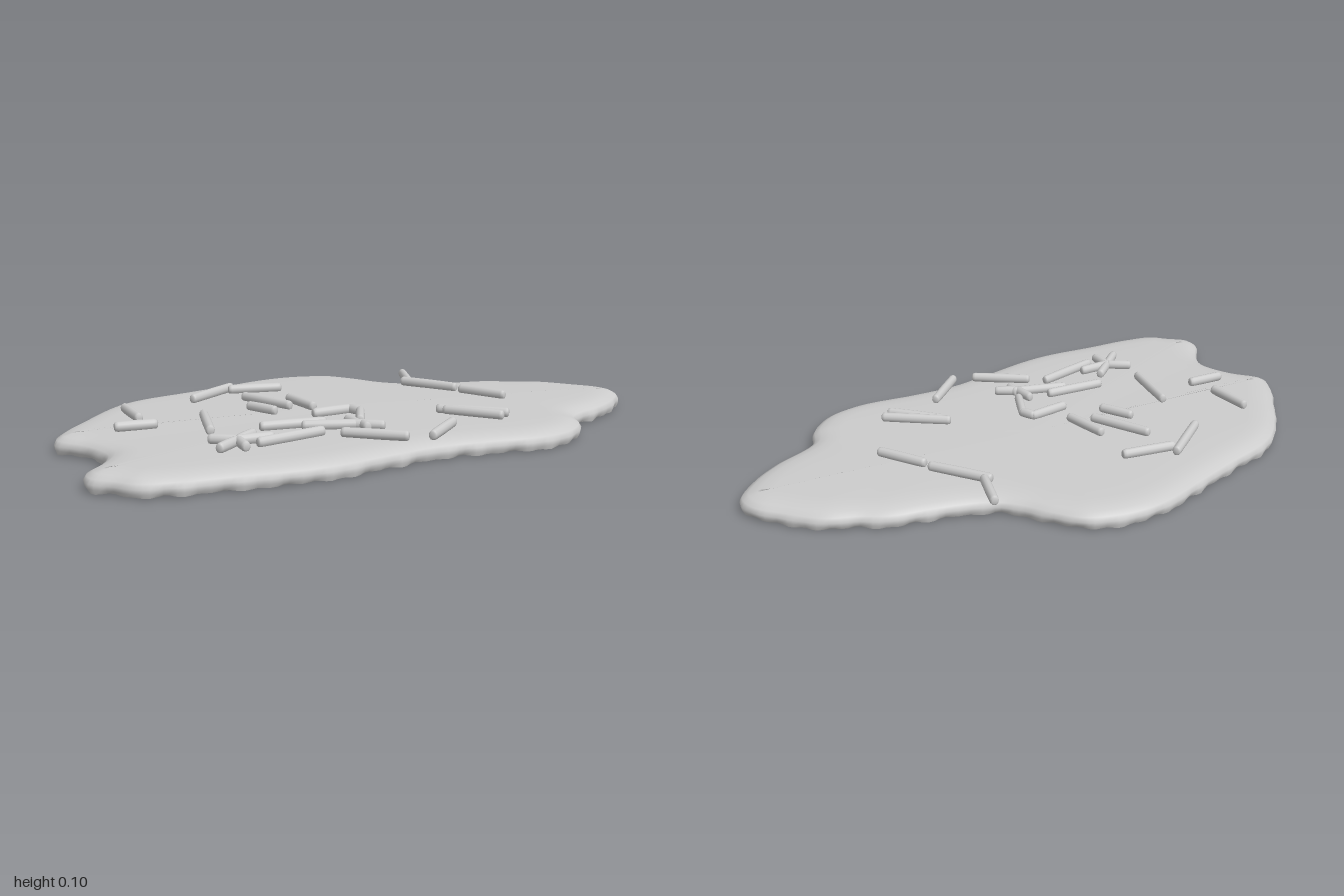
import * as THREE from 'three';

const stone = new THREE.MeshStandardMaterial({ color: 0xcccccc });
stone.name = 'pale grey';

// Outline of the slab as x, z pairs, clockwise seen from above
const OUTLINE = [
  [-1, -0.03], [-0.95, -0.13], [-0.88, -0.22], [-0.81, -0.31], [-0.72, -0.4], [-0.63, -0.45],
  [-0.45, -0.5], [-0.3, -0.545], [-0.15, -0.59], [-0.05, -0.603], [0.05, -0.59], [0.15, -0.55],
  [0.22, -0.47], [0.28, -0.38], [0.35, -0.32], [0.5, -0.27], [0.64, -0.24], [0.73, -0.19],
  [0.82, -0.15], [0.92, -0.05], [0.985, 0.03], [0.995, 0.11], [0.92, 0.2], [0.82, 0.27],
  [0.66, 0.35], [0.62, 0.44], [0.53, 0.52], [0.4, 0.55], [0.2, 0.53], [0.05, 0.525],
  [-0.1, 0.55], [-0.3, 0.59], [-0.42, 0.597], [-0.6, 0.58], [-0.75, 0.57], [-0.88, 0.54],
  [-0.93, 0.49], [-0.99, 0.43], [-0.99, 0.37], [-0.92, 0.28], [-0.89, 0.2], [-0.93, 0.08], [-0.985, 0.01],
];

// Straight sticks lying on top: x1, z1, x2, z2
const STICKS = [
  [-0.49, -0.255, -0.305, -0.39], [-0.33, -0.35, -0.145, -0.315], [-0.73, -0.23, -0.72, -0.06],
  [-0.82, 0.02, -0.685, 0.03], [-0.515, -0.04, -0.56, 0.185], [-0.315, -0.23, -0.215, -0.03],
  [-0.345, -0.09, -0.285, 0.02], [-0.18, -0.15, -0.15, 0.015], [-0.405, 0.195, -0.19, 0.215],
  [-0.475, 0.375, -0.24, 0.32], [-0.2, 0.36, -0.03, 0.485], [0.035, 0.51, 0.18, 0.375],
  [0.425, -0.04, 0.52, 0.115],
];

// Bent and forked twigs, each a set of joined pieces
const TWIGS = {
  hookedTwig: [[-0.19, 0.1, -0.045, 0.085], [-0.055, 0.08, -0.03, 0.135], [-0.03, 0.12, -0.085, 0.245]],
  branchedTwig: [[-0.28, 0.235, -0.11, 0.29], [-0.13, 0.28, -0.04, 0.335], [-0.11, 0.3, -0.12, 0.215],
    [-0.1, 0.28, -0.1, 0.34]],
  starTwig: [[-0.52, 0.325, -0.595, 0.275], [-0.52, 0.325, -0.445, 0.26], [-0.52, 0.325, -0.6, 0.395],
    [-0.52, 0.325, -0.52, 0.41], [-0.53, 0.325, -0.405, 0.325]],
  forkedTwig: [[0.21, 0.2, 0.4, 0.345], [0.225, 0.22, 0.365, 0.37]],
  edgeTwig: [[0.36, -0.37, 0.315, -0.22], [0.295, -0.24, 0.425, -0.06]],
};

// Rings of equal length closed to a point at the start or end
function loft(rings) {
  const n = rings[0].length, index = [];
  for (let r = 0; r < rings.length - 1; r++) {
    for (let i = 0; i < n; i++) {
      const j = (i + 1) % n, a = r * n + i, b = r * n + j;
      index.push(a, a + n, b, b, a + n, b + n);
    }
  }
  const geo = new THREE.BufferGeometry();
  geo.setAttribute('position', new THREE.Float32BufferAttribute(rings.flat(2), 3));
  geo.setIndex(index);
  geo.computeVertexNormals();
  return geo;
}

function createSlab() {
  const N = 280;
  const curve = new THREE.CatmullRomCurve3(
    OUTLINE.map(([x, z]) => new THREE.Vector3(x, 0, z)), true, 'centripetal');
  const pts = curve.getSpacedPoints(N).slice(0, N);
  const normals = pts.map((p, i) => {
    const t = pts[(i + 2) % N].clone().sub(pts[(i + N - 2) % N]).normalize();
    return new THREE.Vector3(t.z, 0, -t.x);
  });
  const rough = i => 0.5 + 0.25 * Math.sin(i * 1.37) + 0.25 * Math.sin(i * 0.61 + 2 * Math.sin(i * 0.13));
  const ring = (inset, y, scale = 1, chip = 0, lift = 0) => pts.map((p, i) => {
    const d = inset + chip * rough(i);
    return [(p.x - normals[i].x * d) * scale, y + lift * rough(i), (p.z - normals[i].z * d) * scale];
  });

  // Rounded rim and almost flat top
  const rim = [[0.004, 0, 0.012], [0, 0.014, 0.008], [0, 0.028, 0.003], [0.01, 0.042, 0],
    [0.03, 0.053, 0], [0.06, 0.06, 0], [0.1, 0.063, 0]];
  const top = rim.map(([d, y, chip], k) => ring(d, y, 1, chip, k === 0 ? 0.006 : 0));
  top.push(ring(0.1, 0.065, 0.8), ring(0.1, 0.066, 0.4), ring(0.1, 0.066, 0));

  // Underside with shallow creases fanning out to the rim
  const under = [ring(0.004, 0, 0), ring(0.004, 0, 0.5), ring(0.004, 0, 0.75, 0.012, 0.003),
    ring(0.004, 0, 0.92, 0.012, 0.008), ring(0.004, 0, 1, 0.012, 0.006)];

  const group = new THREE.Group();
  group.name = 'slab';
  const add = (name, rings) => {
    const mesh = new THREE.Mesh(loft(rings), stone);
    mesh.name = name;
    group.add(mesh);
  };
  add('slabTop', top);
  add('slabUnderside', under);
  return group;
}

// A stick with softly bevelled ends, half sunk into the top
function createStick([x1, z1, x2, z2], name) {
  const len = Math.hypot(x2 - x1, z2 - z1), h = len / 2, r = 0.0145;
  const profile = [[0, -h], [r * 0.6, -h], [r * 0.9, -h + 0.004], [r, -h + 0.012],
    [r * 1.05, 0], [r, h - 0.012], [r * 0.9, h - 0.004], [r * 0.6, h], [0, h]];
  const geo = new THREE.LatheGeometry(profile.map(([x, y]) => new THREE.Vector2(x, y)), 12);
  geo.rotateX(Math.PI / 2);
  geo.scale(1, 1.15, 1);
  const mesh = new THREE.Mesh(geo, stone);
  mesh.name = name;
  mesh.position.set((x1 + x2) / 2, 0.078, (z1 + z2) / 2);
  mesh.rotation.y = Math.atan2(x2 - x1, z2 - z1);
  return mesh;
}

export function createModel() {
  const model = new THREE.Group();
  model.name = 'slabWithTwigs';
  model.add(createSlab());
  STICKS.forEach((s, i) => model.add(createStick(s, `stick${i + 1}`)));
  for (const [name, pieces] of Object.entries(TWIGS)) {
    const twig = new THREE.Group();
    twig.name = name;
    pieces.forEach((s, i) => twig.add(createStick(s, `${name}Piece${i + 1}`)));
    model.add(twig);
  }
  return model;
}
